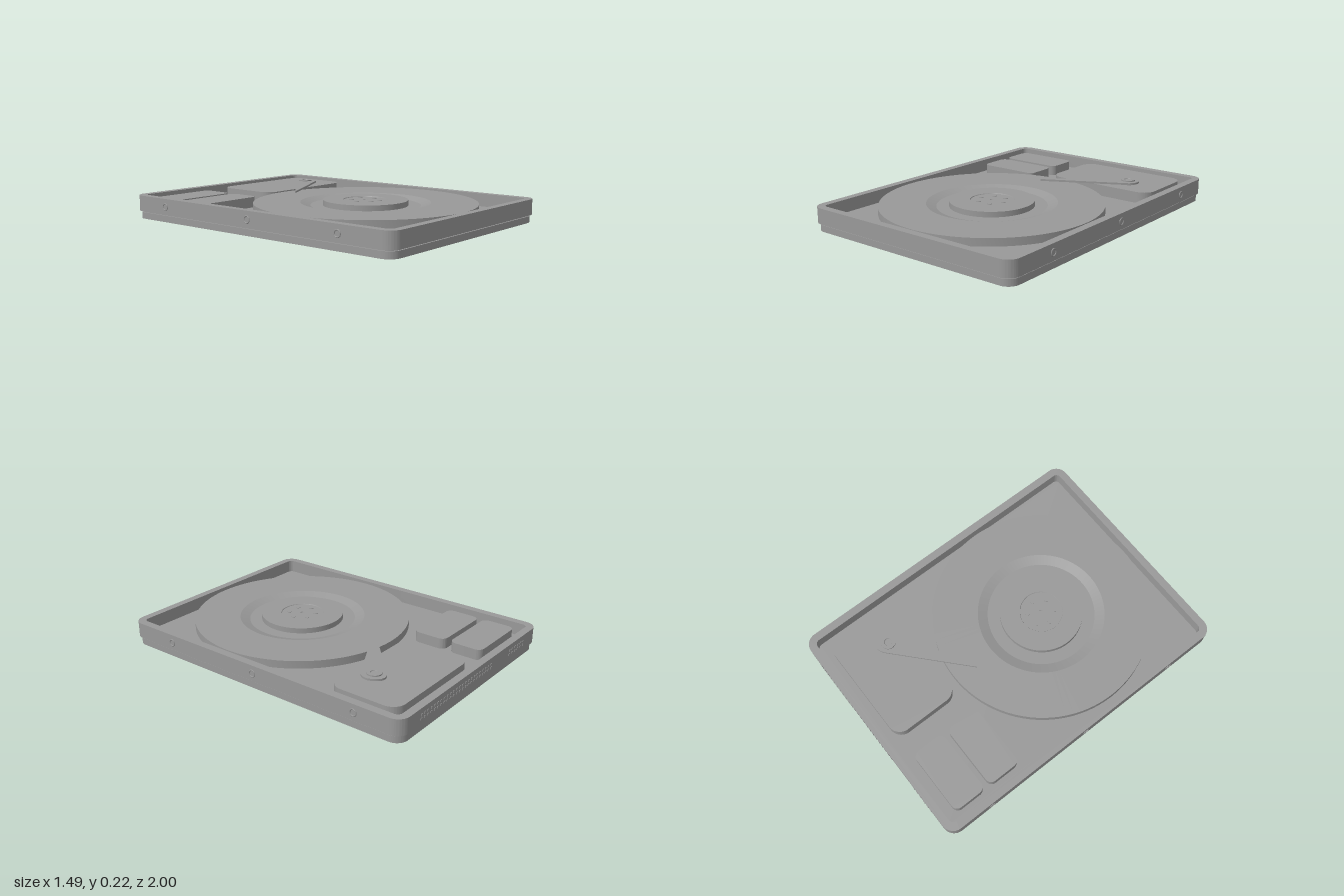
import * as THREE from 'three';
import { toCreasedNormals } from 'three/addons/utils/BufferGeometryUtils.js';

const metal = new THREE.MeshStandardMaterial({ color: 0x999999 });
metal.name = 'grey metal';

// Rounded rectangle on the floor plan; z is flipped because shapes are laid flat.
function roundRect(x0, x1, z0, z1, r, Type = THREE.Shape) {
  const s = new Type(), b = -z1, t = -z0, h = Math.PI / 2;
  s.absarc(x1 - r, b + r, r, -h, 0, false);
  s.absarc(x1 - r, t - r, r, 0, h, false);
  s.absarc(x0 + r, t - r, r, h, 2 * h, false);
  s.absarc(x0 + r, b + r, r, 2 * h, 3 * h, false);
  s.closePath();
  return s;
}

export function createModel() {
  const model = new THREE.Group();

  function add(name, geo, x = 0, y = 0, z = 0) {
    const mesh = new THREE.Mesh(geo, metal);
    mesh.name = name;
    mesh.position.set(x, y, z);
    model.add(mesh);
    return mesh;
  }

  // Slab standing between y0 and y1, with an optional chamfer.
  function slab(name, shape, y0, y1, bevel = 0, bevelHeight = bevel) {
    let geo = new THREE.ExtrudeGeometry(shape, {
      depth: y1 - y0 - 2 * bevelHeight, curveSegments: 16, bevelEnabled: bevel > 0,
      bevelSize: bevel, bevelThickness: bevelHeight, bevelSegments: 1,
    });
    geo.rotateX(-Math.PI / 2);
    geo.translate(0, y0 + bevelHeight, 0);
    geo = toCreasedNormals(geo, 0.4);
    return add(name, geo);
  }

  function lathe(name, points, x, z, segments = 64) {
    const geo = new THREE.LatheGeometry(points.map(p => new THREE.Vector2(...p)), segments);
    return add(name, toCreasedNormals(geo, 0.25), x, 0, z);
  }

  // Casing: base plate, inset seam, tray floor and rim
  slab('basePlate', roundRect(-0.73, 0.73, -0.985, 0.985, 0.07), 0.06, 0.1);
  slab('seam', roundRect(-0.72, 0.72, -0.975, 0.975, 0.065), 0.1, 0.108);
  slab('trayFloor', roundRect(-0.7, 0.7, -0.96, 0.96, 0.04), 0.108, 0.125);
  const rim = roundRect(-0.74, 0.74, -0.997, 0.997, 0.075);
  rim.holes.push(roundRect(-0.692, 0.692, -0.95, 0.95, 0.03, THREE.Path));
  slab('trayRim', rim, 0.108, 0.205);

  // Platter with a shallow dish around its hub
  lathe('platter', [[0, 0.15], [0.67, 0.15], [0.67, 0.197], [0.39, 0.197],
    [0.33, 0.178], [0, 0.178]], 0, 0.255, 96);
  lathe('platterSpindle', [[0, 0.12], [0.3, 0.12], [0.3, 0.152]], 0, 0.255);
  lathe('hub', [[0.255, 0.17], [0.255, 0.211], [0.132, 0.211], [0.13, 0.207],
    [0.012, 0.207], [0.011, 0.203], [0, 0.203]], 0, 0.255);
  for (let i = 0; i < 6; i++) {
    const a = i * Math.PI / 3;
    add('hubScrew', new THREE.CylinderGeometry(0.014, 0.014, 0.006, 16),
      0.085 * Math.cos(a), 0.207, 0.255 + 0.085 * Math.sin(a));
  }

  // Raised blocks at the back of the tray
  slab('motorBlock', roundRect(-0.09, 0.64, -0.9, -0.46, 0.08), 0.12, 0.195);
  slab('smallBlock', roundRect(-0.645, -0.23, -0.89, -0.68, 0.04), 0.12, 0.19);
  slab('smallBlock', roundRect(-0.645, -0.23, -0.645, -0.43, 0.04), 0.12, 0.19);

  // Read arm, tapering to its tip over the platter
  const arm = new THREE.Shape();
  arm.moveTo(-0.04, 0.275);
  arm.lineTo(0.2, 0.4);
  arm.lineTo(0.455, 0.535);
  arm.quadraticCurveTo(0.49, 0.56, 0.488, 0.605);
  arm.quadraticCurveTo(0.465, 0.675, 0.42, 0.675);
  arm.quadraticCurveTo(0.395, 0.672, 0.37, 0.65);
  arm.closePath();
  slab('arm', arm, 0.205, 0.217);
  lathe('armPivot', [[0.045, 0.19], [0.045, 0.224], [0.024, 0.224], [0.022, 0.219],
    [0, 0.219]], 0.415, -0.6, 32);

  // Underside: chamfered oval bulge with a second step and spindle recess
  slab('bulge', roundRect(-0.5, 0.5, -0.73, 0.73, 0.499), 0.017, 0.107, 0.06, 0.043);
  const step = new THREE.Shape();
  step.absarc(0, -0.23, 0.36, Math.PI, 2 * Math.PI, false);
  step.absarc(0.14, 0.37, 0.22, 0, Math.PI / 2, false);
  step.absarc(-0.14, 0.37, 0.22, Math.PI / 2, Math.PI, false);
  step.closePath();
  const recess = new THREE.Path();
  recess.absarc(0, -0.255, 0.155, 0, 2 * Math.PI, true);
  step.holes.push(recess);
  slab('bulgeStep', step, 0, 0.04, 0.02, 0.017);
  add('spindleCap', new THREE.CylinderGeometry(0.16, 0.145, 0.02, 48), 0, 0.015, 0.255);

  // Feet with screw recesses, and mounting bosses along both sides
  for (const sx of [-1, 1]) {
    for (const sz of [-1, 1]) {
      lathe('foot', [[0, 0.059], [0.02, 0.059], [0.02, 0.055], [0.035, 0.055], [0.035, 0.058],
        [0.043, 0.058], [0.043, 0.055], [0.055, 0.055], [0.055, 0.062]],
      sx * 0.635, sz * 0.855, 32);
    }
    for (const z of [-0.7, 0, 0.65]) {
      const boss = add('sideBoss', new THREE.TorusGeometry(0.02, 0.004, 6, 20),
        sx * 0.74, 0.155, z);
      boss.rotation.y = Math.PI / 2;
    }
  }

  // Connector pins on the back
  function pins(x0, x1, count) {
    for (let i = 0; i < count; i++) {
      const x = x0 + (x1 - x0) * i / (count - 1);
      for (const y of [0.143, 0.167]) {
        add('connectorPin', new THREE.BoxGeometry(0.014, 0.012, 0.012), x, y, -0.994);
      }
    }
  }
  pins(-0.16, 0.56, 24);
  pins(-0.55, -0.38, 6);

  return model;
}
